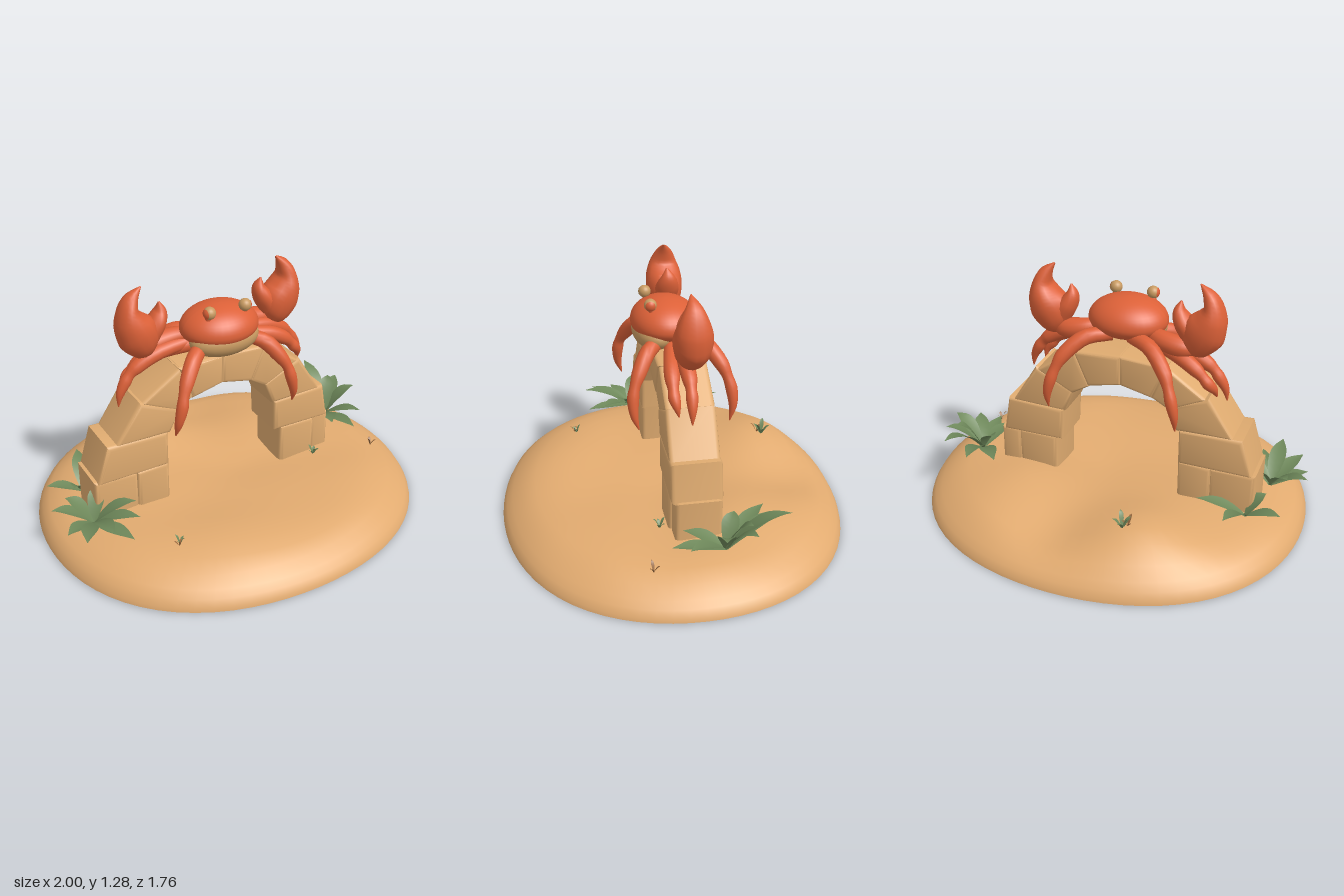
import * as THREE from 'three';
import { mergeVertices, mergeGeometries, toCreasedNormals } from 'three/addons/utils/BufferGeometryUtils.js';

const mat = (name, color, side = THREE.FrontSide) => {
  const m = new THREE.MeshStandardMaterial({ color, side });
  m.name = name;
  return m;
};
const sand = mat('sand', 0xe2ab70, THREE.DoubleSide);
const stone = mat('stone', 0xdfab70);
const red = mat('crab red', 0xdd6138);
const tan = mat('belly tan', 0xc99b62);
const green = mat('leaf green', 0x6f895b, THREE.DoubleSide);
const brown = mat('twig brown', 0x9a6b40, THREE.DoubleSide);

function part(name, geometry, material, parent) {
  const m = new THREE.Mesh(geometry, material);
  m.name = name;
  parent.add(m);
  return m;
}

// Smooth tapered body along a path; each radius is [across, along z]
function loft(points, radii, rings = 20, sides = 14) {
  const path = new THREE.CatmullRomCurve3(points.map(p => new THREE.Vector3(...p)));
  const size = new THREE.CatmullRomCurve3(
    radii.map(r => new THREE.Vector3(r[0] ?? r, r[1] ?? r, 0)), false, 'catmullrom');
  const pos = [], idx = [];
  for (let i = 0; i <= rings; i++) {
    const p = path.getPoint(i / rings), t = path.getTangent(i / rings), r = size.getPoint(i / rings);
    const u = new THREE.Vector3(0, 0, 1).addScaledVector(t, -t.z).normalize();
    const w = u.clone().cross(t);
    for (let j = 0; j < sides; j++) {
      const a = j / sides * Math.PI * 2;
      const v = p.clone().addScaledVector(w, Math.cos(a) * Math.max(r.x, 0.001))
        .addScaledVector(u, Math.sin(a) * Math.max(r.y, 0.001));
      pos.push(v.x, v.y, v.z);
      if (i === rings) continue;
      const A = i * sides + j, B = i * sides + (j + 1) % sides;
      idx.push(A, B, A + sides, B, B + sides, A + sides);
    }
  }
  const g = new THREE.BufferGeometry();
  g.setAttribute('position', new THREE.Float32BufferAttribute(pos, 3));
  g.setIndex(idx);
  g.computeVertexNormals();
  return g;
}

// Gentle dunes: [x, z, height, spread]
const dunes = [[-0.32, -0.54, 0.065, 0.27], [0.45, -0.3, 0.03, 0.23], [-0.35, 0.52, 0.025, 0.25],
  [0.1, 0.05, -0.025, 0.22], [0.4, 0.5, 0.012, 0.2], [0.1, -0.65, -0.035, 0.2]];
const dune = (x, z) => dunes.reduce((s, [a, b, h, w]) =>
  s + h * Math.exp(-((x - a) ** 2 + (z - b) ** 2) / (w * w)), 0);

// Open shell of sand, a full oval from above, steepest at its west end
function island() {
  const profile = [[1, 0.005], [0.995, 0.025], [0.975, 0.062], [0.94, 0.093], [0.88, 0.123], [0.8, 0.145],
    [0.7, 0.156], [0.6, 0.16], [0.5, 0.16], [0.4, 0.158], [0.3, 0.155], [0.2, 0.153], [0.1, 0.15], [0, 0.15]];
  let g = new THREE.LatheGeometry(profile.map(p => new THREE.Vector2(...p)), 72);
  const p = g.attributes.position;
  for (let i = 0; i < p.count; i++) {
    const r = Math.hypot(p.getX(i), p.getZ(i)), a = Math.atan2(p.getZ(i), p.getX(i));
    const k = 1 + 0.028 * r * r * Math.sin(2 * a) ** 2;
    const x = p.getX(i) * k, z = p.getZ(i) * k * 0.88, fade = Math.min(1, (1 - r) * 5);
    const ripple = 0.004 * Math.sin(9 * x + 4 * z) + 0.003 * Math.sin(13 * z - 5 * x);
    const slump = 0.015 * Math.min(1, 1 + Math.cos(a)) * Math.exp(-(((r - 0.94) / 0.05) ** 2));
    const floor = r > 0.99 ? 0 : 0.02;
    p.setXYZ(i, x, Math.max(floor, p.getY(i) - slump) + fade * (dune(x, z) + ripple), z);
  }
  g.deleteAttribute('uv');
  g.deleteAttribute('normal');
  g = mergeVertices(g, 1e-4);
  g.computeVertexNormals();
  return g;
}

// Rounded stone cut from a front outline
function block(corners, front = 0.09, back = -0.155) {
  const b = 0.022;
  const g = new THREE.ExtrudeGeometry(new THREE.Shape(corners.map(c => new THREE.Vector2(...c))),
    { depth: front - back - 2 * b, bevelThickness: b, bevelSize: b, bevelOffset: -b, bevelSegments: 3 });
  g.translate(0, 0, back + b);
  return toCreasedNormals(g, 0.9);
}

// Arched, slightly folded leaf from a root to an offset tip
function leaf([dx, dz, h], root, width) {
  const n = 8, len = Math.hypot(dx, dz), pos = [], idx = [];
  for (let i = 0; i <= n; i++) {
    const t = i / n, w = width * 0.5 * (0.25 + 0.75 * Math.sin(Math.PI * t * 0.95)) * (1 - t ** 5);
    const y = root[1] + h * (1 - (1 - t) ** 2);
    for (const s of [-1, 0, 1]) {
      pos.push(root[0] + dx * t - s * w * dz / len, y + Math.abs(s) * w * 0.25, root[2] + dz * t + s * w * dx / len);
    }
    if (i < n) for (const k of [0, 1]) {
      const a = i * 3 + k;
      idx.push(a, a + 1, a + 3, a + 1, a + 4, a + 3);
    }
  }
  const g = new THREE.BufferGeometry();
  g.setAttribute('position', new THREE.Float32BufferAttribute(pos, 3));
  g.setIndex(idx);
  g.computeVertexNormals();
  return g;
}
const plant = (root, tips, width) => mergeGeometries(tips.map(([x, z, h]) =>
  leaf([x - root[0], z - root[2], h], root, width)));

function crab() {
  const c = new THREE.Group();
  c.name = 'crab';
  c.position.x = -0.05;

  // Shell with a flatter underside, and the pale belly below the face
  const shell = new THREE.SphereGeometry(1, 36, 24);
  const p = shell.attributes.position;
  for (let i = 0; i < p.count; i++) {
    const y = p.getY(i);
    p.setXYZ(i, p.getX(i) * 0.2, 1.02 + y * (y > 0 ? 0.117 : 0.09), 0.018 + p.getZ(i) * 0.168);
  }
  shell.computeVertexNormals();
  part('shell', shell, red, c);
  const belly = part('belly', new THREE.SphereGeometry(1, 32, 20), tan, c);
  belly.scale.set(0.183, 0.085, 0.11);
  belly.position.set(0, 0.974, 0.07);

  const legR = [0.034, 0.039, 0.036, 0.026, 0.029, 0.02, 0.003];
  for (const s of [1, -1]) {
    const side = s > 0 ? 'left' : 'right';
    const reach = s > 0 ? 1 : -1.05;
    const add = (name, pts, radii) =>
      part(side + name, loft(pts.map(([x, y, z]) => [x * reach, y, z]), radii), red, c);

    // Eyes on short stalks with a coloured outer cap
    const eye = new THREE.Vector3(s * 0.096, 1.135, 0.1);
    add('EyeStalk', [[0.09, 1.06, 0.08], [0.093, 1.1, 0.092], [0.094, 1.125, 0.1]], [0.02, 0.017, 0.014]);
    part(side + 'Eye', new THREE.SphereGeometry(0.031, 20, 14), tan, c).position.copy(eye);
    const cap = part(side + 'EyeCap', new THREE.SphereGeometry(0.0325, 16, 6, 0, Math.PI * 2, 0, 0.85), red, c);
    cap.position.copy(eye);
    cap.quaternion.setFromUnitVectors(new THREE.Vector3(0, 1, 0), new THREE.Vector3(s * 0.99, 0, 0.14).normalize());

    // Arm, big claw and its inner finger
    add('Arm', [[0.12, 0.985, -0.03], [0.2, 0.97, -0.065], [0.29, 0.955, -0.07], [0.35, 0.95, -0.05]],
      [0.035, 0.048, 0.05, 0.03]);
    add('Claw', [[0.31, 0.92, -0.05], [0.345, 0.965, -0.05], [0.38, 1.04, -0.05], [0.412, 1.11, -0.05],
      [0.42, 1.17, -0.05], [0.4, 1.225, -0.05], [0.355, 1.277, -0.045]],
      [[0.008, 0.008], [0.075, 0.07], [0.105, 0.093], [0.08, 0.09], [0.048, 0.07], [0.032, 0.042], [0.003, 0.003]]);
    add('ClawFinger', [[0.33, 1.02, -0.05], [0.285, 1.08, -0.05], [0.266, 1.13, -0.05], [0.272, 1.182, -0.045]],
      [[0.06, 0.06], [0.047, 0.06], [0.032, 0.04], [0.003, 0.003]]);

    // Four legs a side
    const z = s > 0 ? 1 : -2.4;
    const legs = {
      FrontLeg: [[0.1, 0.96, 0.05], [0.19, 0.93, 0.13], [0.25, 0.855, 0.18], [0.28, 0.8, 0.205],
        [0.295, 0.745, 0.217], [0.315, 0.66, 0.215], [0.322, 0.59, 0.195]],
      MiddleLeg: [[0.1, 0.95, -0.03], [0.3, 0.925, -0.03], [0.4, 0.875, -0.035], [0.435, 0.845, -0.035],
        [0.46, 0.81, -0.035], [0.49, 0.755, -0.032], [0.502, 0.69, -0.03]],
      SecondLeg: [[0.1, 0.94, 0], [0.28, 0.905, 0.03 * z], [0.36, 0.865, 0.04 * z], [0.4, 0.83, 0.042 * z],
        [0.425, 0.8, 0.042 * z], [0.45, 0.765, 0.035 * z], [0.46, 0.715, 0.025 * z]],
      BackLeg: [[0.05, 0.97, -0.08], [0.16, 0.96, -0.145], [0.25, 0.88, -0.215], [0.28, 0.82, -0.243],
        [0.3, 0.76, -0.26], [0.318, 0.68, -0.265], [0.32, 0.6, -0.25]],
    };
    for (const [name, pts] of Object.entries(legs)) add(name, pts, legR);
  }
  return c;
}

export function createModel() {
  const model = new THREE.Group();
  model.name = 'crab on a stone arch';
  part('island', island(), sand, model);

  // Stone arch
  const arch = new THREE.Group();
  arch.name = 'arch';
  model.add(arch);
  const stones = [
    [[[-0.77, 0.11], [-0.54, 0.11], [-0.54, 0.36], [-0.77, 0.365]], 0.08],
    [[[-0.55, 0.11], [-0.375, 0.11], [-0.375, 0.365], [-0.55, 0.36]]],
    [[[0.285, 0.11], [0.495, 0.11], [0.495, 0.355], [0.28, 0.36]]],
    [[[0.485, 0.11], [0.6, 0.11], [0.595, 0.355], [0.485, 0.36]], 0.075],
    [[[-0.755, 0.355], [-0.375, 0.355], [-0.375, 0.545], [-0.695, 0.555]], 0.092, -0.16],
    [[[0.245, 0.35], [0.58, 0.345], [0.545, 0.54], [0.235, 0.53]], 0.092, -0.16],
    [[[-0.65, 0.545], [-0.36, 0.535], [-0.3, 0.655], [-0.515, 0.748]]],
    [[[0.23, 0.52], [0.52, 0.53], [0.385, 0.748], [0.175, 0.65]]],
    [[[-0.505, 0.735], [-0.325, 0.64], [-0.22, 0.698], [-0.295, 0.877]], 0.085],
    [[[0.19, 0.63], [0.38, 0.735], [0.17, 0.877], [0.09, 0.692]], 0.085],
    [[[-0.305, 0.875], [-0.235, 0.69], [-0.063, 0.73], [-0.063, 0.888]]],
    [[[-0.072, 0.888], [-0.072, 0.73], [0.105, 0.69], [0.18, 0.875]]],
  ];
  for (const s of stones) part('archStone', block(...s), stone, arch);

  model.add(crab());

  // Leafy plants beside the arch: tips as [x, z, rise]
  part('eastPlant', plant([0.73, 0.18, -0.14], [[0.66, -0.43, 0.13], [0.78, -0.43, 0.2], [0.54, -0.36, 0.1],
    [0.88, -0.25, 0.16], [0.9, -0.1, 0.16], [0.84, 0.05, 0.09], [0.75, 0.12, 0.05], [0.65, 0.05, 0.07],
    [0.62, -0.2, 0.13], [0.82, -0.24, 0.18]], 0.088), green, model);
  part('westPlant', plant([-0.8, 0.165, 0.1], [[-0.99, 0.05, 0.11], [-0.97, 0.2, 0.06], [-0.92, 0.32, 0.08],
    [-0.8, 0.37, 0.12], [-0.7, 0.36, 0.04], [-0.63, 0.28, 0.09], [-0.61, 0.19, 0.12], [-0.9, 0, 0.12],
    [-0.72, 0, 0.13]], 0.088), green, model);
  part('backPlant', plant([-0.74, 0.15, -0.18], [[-0.92, -0.22, 0.07], [-0.68, -0.4, 0.11],
    [-0.5, -0.23, 0.08], [-0.82, -0.1, 0.1]], 0.08), green, model);

  // Small sprouts and twigs in the sand
  const tuft = (x, z, size, count, material) => {
    const tips = Array.from({ length: count }, (_, i) => [x + size * Math.cos(i * 6.28 / count + x),
      z + size * Math.sin(i * 6.28 / count + x), size * (1.2 + 0.5 * (i % 2))]);
    part('sprout', plant([x, 0.145 + dune(x, z), z], tips, size * 0.5), material, model);
  };
  tuft(-0.24, -0.56, 0.048, 5, green);
  tuft(-0.26, -0.54, 0.035, 3, brown);
  tuft(-0.51, 0.45, 0.028, 4, green);
  tuft(-0.52, 0.46, 0.025, 3, brown);
  tuft(0.47, 0.13, 0.032, 5, green);
  tuft(0.8, 0.21, 0.03, 3, brown);
  return model;
}
